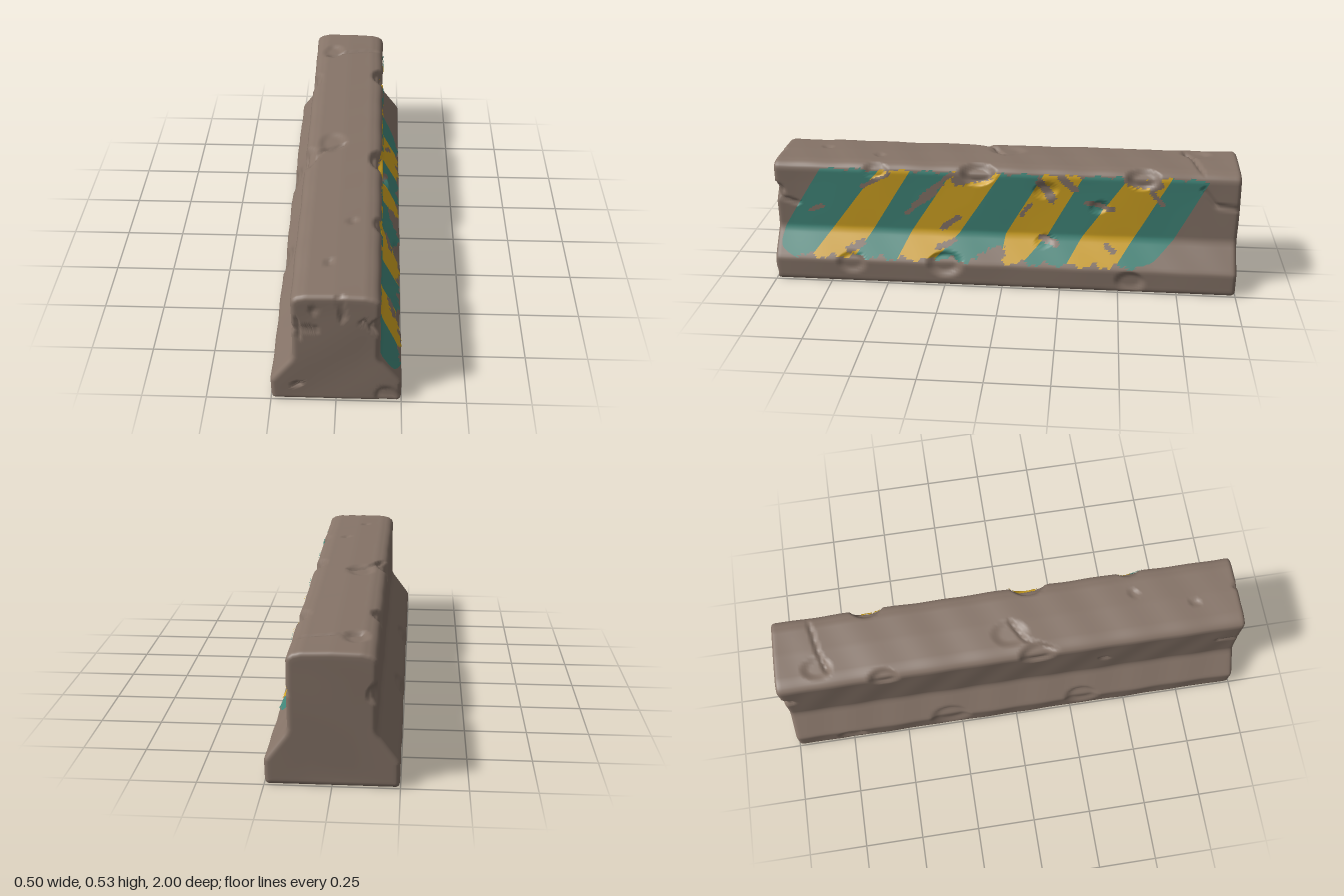
import * as THREE from 'three';

// Right half of the cross-section [x, y], from the floor to the crown
const HALF = [[0, 0], [0.235, 0], [0.245, 0.006], [0.25, 0.018], [0.25, 0.095], [0.245, 0.107], [0.172, 0.206],
  [0.164, 0.225], [0.165, 0.488], [0.159, 0.505], [0.142, 0.517], [0.11, 0.525], [0, 0.528]];

// Chipped spots: x, y, z, radius, depth
const CHIPS = [
  [0.165, 0.5, 0.11, 0.06, 0.025], [0.165, 0.43, -0.18, 0.04, 0.012], [0.165, 0.5, -0.59, 0.055, 0.022],
  [0.165, 0.36, -0.41, 0.03, 0.01], [0.18, 0.2, -0.18, 0.03, 0.01], [0.25, 0.1, 0.25, 0.06, 0.02],
  [0.25, 0.09, 0.66, 0.05, 0.012], [0.2, 0.03, 1, 0.05, 0.015], [0.16, 0.39, 1, 0.035, 0.015],
  [-0.15, 0.08, 1, 0.018, 0.012], [-0.08, 0.46, 1, 0.02, 0.008], [-0.08, 0.527, -0.82, 0.05, 0.012],
  [-0.05, 0.527, 0, 0.06, 0.01], [-0.165, 0.5, 0.1, 0.06, 0.02], [-0.165, 0.5, -0.55, 0.05, 0.018],
  [-0.25, 0.1, 0.3, 0.06, 0.015], [-0.25, 0.09, -0.3, 0.07, 0.015], [-0.25, 0.05, -0.75, 0.05, 0.012],
  [0.25, 0.05, -0.55, 0.05, 0.012], [-0.165, 0.37, -1, 0.04, 0.015], [0.165, 0.5, 0.55, 0.04, 0.012],
  [-0.03, 0.527, 0.8, 0.018, 0.008], [0.05, 0.527, 0.55, 0.018, 0.008], [-0.165, 0.35, 0.4, 0.02, 0.008],
];

// Cracks: start xyz, end xyz
const CRACKS = [
  [0.16, 0.527, -0.84, 0, 0.527, -0.81], [0, 0.527, -0.81, -0.1, 0.527, -0.78],
  [-0.16, 0.52, 0.2, -0.09, 0.527, 0.06], [-0.09, 0.527, 0.06, 0, 0.527, 0.01],
  [0.015, 0.527, 0.99, 0.028, 0.42, 1], [-0.165, 0.362, 1, -0.07, 0.37, 1], [-0.145, 0.41, 1, -0.14, 0.33, 1],
  [0.1, 0.41, 1, 0.155, 0.35, 1], [0.165, 0.33, 0.9, 0.165, 0.36, 1],
  [0.165, 0.46, -0.84, 0.165, 0.38, -0.9], [0.165, 0.38, -0.9, 0.165, 0.37, -1], [-0.165, 0.37, 0.9, -0.165, 0.36, 1],
].map(c => new THREE.Line3(new THREE.Vector3(c[0], c[1], c[2]), new THREE.Vector3(c[3], c[4], c[5])));

// Paint scratches in the side plane: z1, y1, z2, y2, width
const SCRATCHES = [
  [0.43, 0.3, 0.3, 0.4, 0.009], [0.4, 0.34, 0.27, 0.44, 0.008], [0.36, 0.38, 0.23, 0.49, 0.01],
  [0.62, 0.42, 0.5, 0.48, 0.009], [0.27, 0.24, 0.2, 0.29, 0.012], [0.09, 0.12, 0.02, 0.15, 0.028],
  [0.2, 0.47, 0.08, 0.5, 0.03], [-0.15, 0.47, -0.2, 0.39, 0.02], [-0.24, 0.49, -0.3, 0.44, 0.016],
  [-0.35, 0.38, -0.46, 0.35, 0.011], [-0.53, 0.49, -0.64, 0.47, 0.026], [-0.62, 0.44, -0.67, 0.38, 0.01],
  [0.68, 0.14, 0.62, 0.17, 0.014], [0.85, 0.3, 0.8, 0.32, 0.01], [-0.16, 0.21, -0.22, 0.19, 0.014],
  [0.29, 0.16, 0.22, 0.19, 0.01], [-0.07, 0.31, -0.11, 0.36, 0.009], [-0.44, 0.19, -0.47, 0.17, 0.012],
].map(s => [new THREE.Line3(new THREE.Vector3(s[0], s[1], 0), new THREE.Vector3(s[2], s[3], 0)), s[4]]);

const clamp = THREE.MathUtils.clamp;
const near = new THREE.Vector3();

// Wear the surface inward: gentle waves, chips and cracks
function weather(p) {
  const dir = new THREE.Vector3(clamp(p.x, -0.08, 0.08), clamp(p.y, 0.08, 0.42), clamp(p.z, -0.9, 0.9)).sub(p).normalize();
  let amount = 0.0011 * (2 + Math.sin(p.z * 11 + p.y * 8 + p.x * 5) + Math.sin(p.z * 29 - p.y * 17 + p.x * 13));
  for (const [x, y, z, r, depth] of CHIPS) {
    const d = Math.hypot(p.x - x, p.y - y, (p.z - z) * 0.75) / r;
    if (d < 1) amount += depth * Math.min(1, 1.6 * (1 - d * d));
  }
  let crack = 0;
  for (const line of CRACKS) {
    const d = line.closestPointToPoint(p, true, near).distanceTo(p) / 0.013;
    if (d < 1) crack = Math.max(crack, 0.014 * (1 - d));
  }
  return p.addScaledVector(dir, (amount + crack) * clamp(p.y / 0.02, 0, 1));
}

// Closed, evenly divided cross-section with outward normals
function crossSection() {
  const left = HALF.slice(1, -1).reverse().map(([x, y]) => [-x, y]);
  const corners = [...HALF, ...left], pts = [];
  corners.forEach((a, i) => {
    const b = corners[(i + 1) % corners.length];
    const n = Math.ceil(Math.hypot(b[0] - a[0], b[1] - a[1]) / 0.0125);
    for (let k = 0; k < n; k++) pts.push(new THREE.Vector2(a[0] + (b[0] - a[0]) * k / n, a[1] + (b[1] - a[1]) * k / n));
  });
  const normals = pts.map((p, i) => {
    const t = pts[(i + 1) % pts.length].clone().sub(pts[(i + pts.length - 1) % pts.length]).normalize();
    return new THREE.Vector2(t.y, -t.x);
  });
  return { pts, normals };
}

function makeGeometry(positions, index) {
  const g = new THREE.BufferGeometry();
  g.setAttribute('position', new THREE.Float32BufferAttribute(positions, 3));
  g.setIndex(index);
  g.computeVertexNormals();
  return g;
}

// Whole block: end cap rings, rounded edge, long sides, and the same again
function blockGeometry() {
  const { pts, normals } = crossSection(), n = pts.length, R = 0.018;
  const end = []; // [z, inset, scale]
  for (let i = 0; i < 20; i++) end.push([1, R, i / 20]);
  for (let i = 0; i <= 4; i++) {
    const a = i / 4 * Math.PI / 2;
    end.push([1 - R + R * Math.cos(a), R * (1 - Math.sin(a)), 1]);
  }
  const rows = end.map(([z, inset, s]) => [-z, inset, s]);
  for (let i = 1; i < 190; i++) rows.push([(1 - R) * (i / 95 - 1), 0, 1]);
  rows.push(...end.slice().reverse());
  const pos = [], index = [];
  rows.forEach(([z, inset, s], i) => {
    for (let j = 0; j < n; j++) {
      const x = (pts[j].x - normals[j].x * inset) * s;
      const y = 0.2 + (pts[j].y - normals[j].y * inset - 0.2) * s;
      pos.push(...weather(new THREE.Vector3(x, y, z)).toArray());
      if (i + 1 < rows.length) {
        const a = i * n + j, b = i * n + (j + 1) % n;
        index.push(a, b, b + n, a, b + n, a + n);
      }
    }
  });
  return makeGeometry(pos, index);
}

// Half width of the side face at height y
function sideX(y) {
  for (let i = 4; i < HALF.length - 1; i++) {
    const [x0, y0] = HALF[i], [x1, y1] = HALF[i + 1];
    if (y <= y1) return x0 + (x1 - x0) * (y - y0) / (y1 - y0);
  }
  return 0;
}

// Stripe borders: z at the bottom, at the bend and at the top
const BORDERS = [[0.99, 0.965, 0.79], [0.84, 0.75, 0.54], [0.65, 0.57, 0.4], [0.46, 0.4, 0.22], [0.3, 0.19, 0.01],
  [0.01, -0.01, -0.17], [-0.08, -0.19, -0.34], [-0.27, -0.34, -0.53], [-0.48, -0.56, -0.71], [-0.62, -0.73, -0.87]];

function borderZ(k, y) {
  const [low, bend, top] = BORDERS[k];
  let z = y < 0.22 ? low + (bend - low) * (y - 0.11) / 0.11 : bend + (top - bend) * (y - 0.22) / 0.28;
  if (k === 0) z = Math.min(z, 0.975) - 0.09 * Math.max(0, (0.16 - y) / 0.06) ** 2;
  if (k === 9) z += 0.06 * Math.max(0, (0.15 - y) / 0.05) ** 2;
  return z;
}

function worn(z, y) {
  const ragged = Math.sin(z * 61) + Math.sin(z * 143 + 1) * 0.6;
  if (y < 0.116 + 0.009 * ragged || y > 0.498 + 0.005 * ragged) return true;
  const q = new THREE.Vector3(z, y, 0), edge = 1 + 0.3 * Math.sin(z * 210 + y * 90) * Math.sin(y * 260);
  return SCRATCHES.some(([line, w]) => line.closestPointToPoint(q, true, near).distanceTo(q) < w * edge);
}

// One painted band lying just over the side face, with worn cells left out
function stripeGeometry(k) {
  const U = 30, V = 52, y0 = 0.098, y1 = 0.505, pos = [], index = [];
  for (let v = 0; v <= V; v++) for (let u = 0; u <= U; u++) {
    const y = y0 + (y1 - y0) * v / V;
    const z = THREE.MathUtils.lerp(borderZ(k, y), borderZ(k + 1, y), u / U);
    const p = weather(new THREE.Vector3(sideX(y), y, z));
    pos.push(p.x + 0.0045, p.y, p.z);
    if (u < U && v < V && !worn(z, y + 0.004)) {
      const a = v * (U + 1) + u, d = a + U + 1;
      index.push(a, a + 1, d + 1, a, d + 1, d);
    }
  }
  return makeGeometry(pos, index);
}

export function createModel() {
  const material = (name, color) => Object.assign(new THREE.MeshStandardMaterial({ color }), { name });
  const concrete = material('brown concrete', 0x867468);
  const teal = material('teal paint', 0x41877a);
  const yellow = material('yellow paint', 0xd2a422);

  const model = new THREE.Group();
  model.name = 'roadBarrier';
  const block = new THREE.Mesh(blockGeometry(), concrete);
  block.name = 'concreteBlock';
  model.add(block);

  // Alternating slanted stripes on one side
  const stripes = new THREE.Group();
  stripes.name = 'paintedStripes';
  for (let k = 0; k < 9; k++) {
    const stripe = new THREE.Mesh(stripeGeometry(k), k % 2 ? yellow : teal);
    stripe.name = k % 2 ? 'yellowStripe' : 'tealStripe';
    stripes.add(stripe);
  }
  model.add(stripes);
  return model;
}
